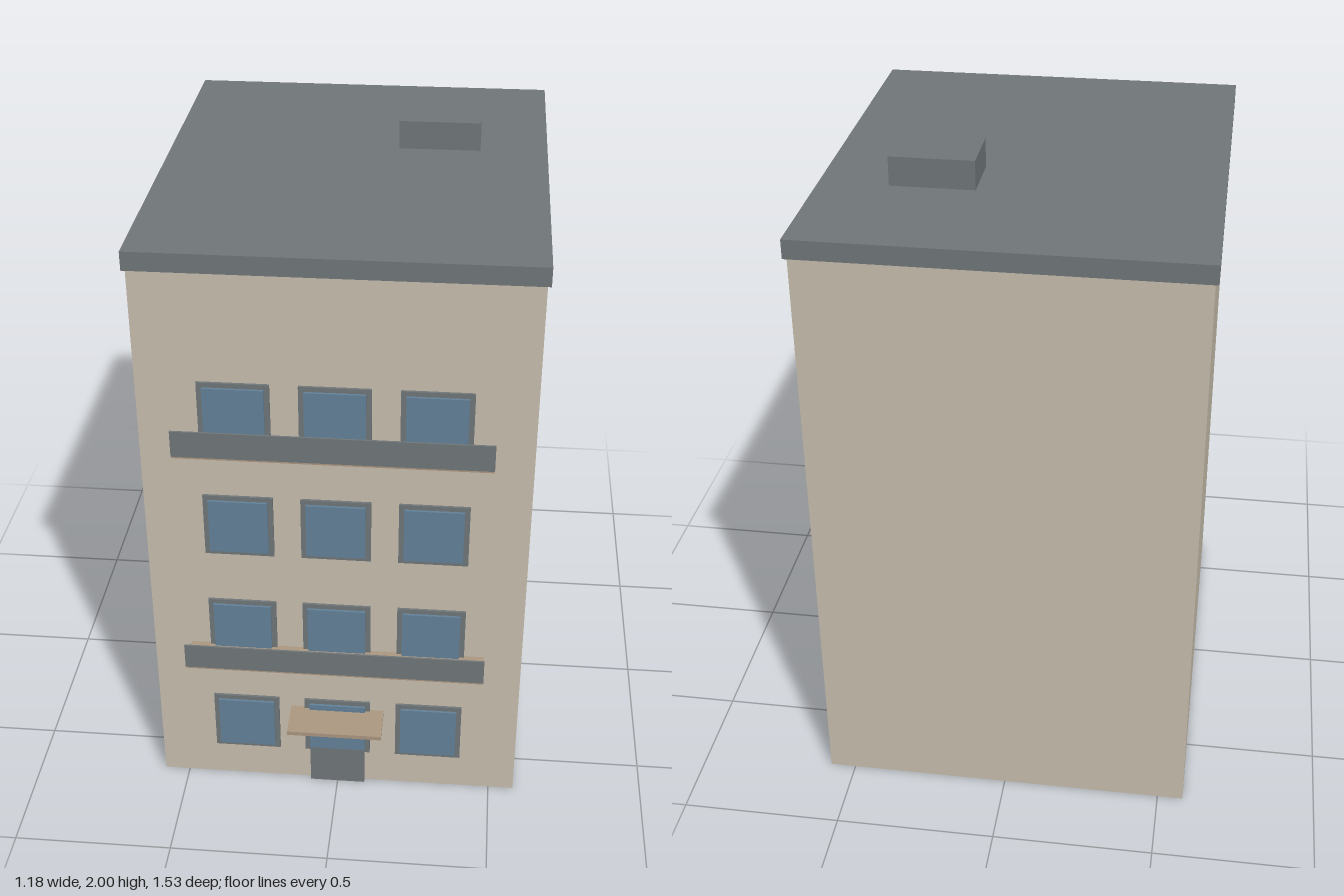
import * as THREE from 'three';

const material = (name, color) => {
  const m = new THREE.MeshStandardMaterial({ color });
  m.name = name;
  return m;
};

export function createModel() {
  const wall = material('beige render', 0xc9c0af);
  const slate = material('slate grey', 0x71777a);
  const glass = material('blue glass', 0x64839a);
  const tan = material('tan slab', 0xae9982);

  const model = new THREE.Group();
  model.name = 'apartmentBlock';

  // Box given by its lower and upper limits on each axis
  const box = (name, mat, [x0, x1], [y0, y1], [z0, z1], parent = model) => {
    const mesh = new THREE.Mesh(new THREE.BoxGeometry(x1 - x0, y1 - y0, z1 - z0), mat);
    mesh.position.set((x0 + x1) / 2, (y0 + y1) / 2, (z0 + z1) / 2);
    mesh.name = name;
    parent.add(mesh);
  };

  const front = 0.64;
  const floorHeight = 0.389;

  // Main volume and roof
  box('walls', wall, [-0.581, 0.581], [0, 1.852], [-0.754, front]);
  box('roofSlab', slate, [-0.591, 0.591], [1.852, 1.91], [-0.764, 0.649]);
  box('roofHousing', slate, [0.126, 0.381], [1.91, 2], [-0.36, -0.179]);

  // Four floors of three framed windows
  for (let floor = 0; floor < 4; floor++) {
    const y = 0.127 + floor * floorHeight;
    for (const x of [-0.295, 0, 0.295]) {
      const win = new THREE.Group();
      win.name = 'window';
      model.add(win);
      box('windowFrame', slate, [x - 0.106, x + 0.106], [y, y + 0.212], [front - 0.005, 0.648], win);
      box('windowGlass', glass, [x - 0.09, x + 0.09], [y + 0.015, y + 0.197], [0.647, 0.656], win);
    }
  }

  // Balconies on the second and fourth floors
  for (const floor of [1, 3]) {
    const y = 0.146 + floor * floorHeight;
    const balcony = new THREE.Group();
    balcony.name = 'balcony';
    model.add(balcony);
    box('balconySlab', tan, [-0.463, 0.463], [y, y + 0.015], [front - 0.005, 0.753], balcony);
    box('balconyRailing', slate, [-0.464, 0.464], [y + 0.006, y + 0.09], [0.749, 0.755], balcony);
  }

  // Entrance
  box('door', slate, [-0.089, 0.089], [0, 0.28], [front - 0.005, 0.6545]);
  box('doorCanopy', tan, [-0.15, 0.15], [0.29, 0.304], [front - 0.005, 0.764]);

  return model;
}
